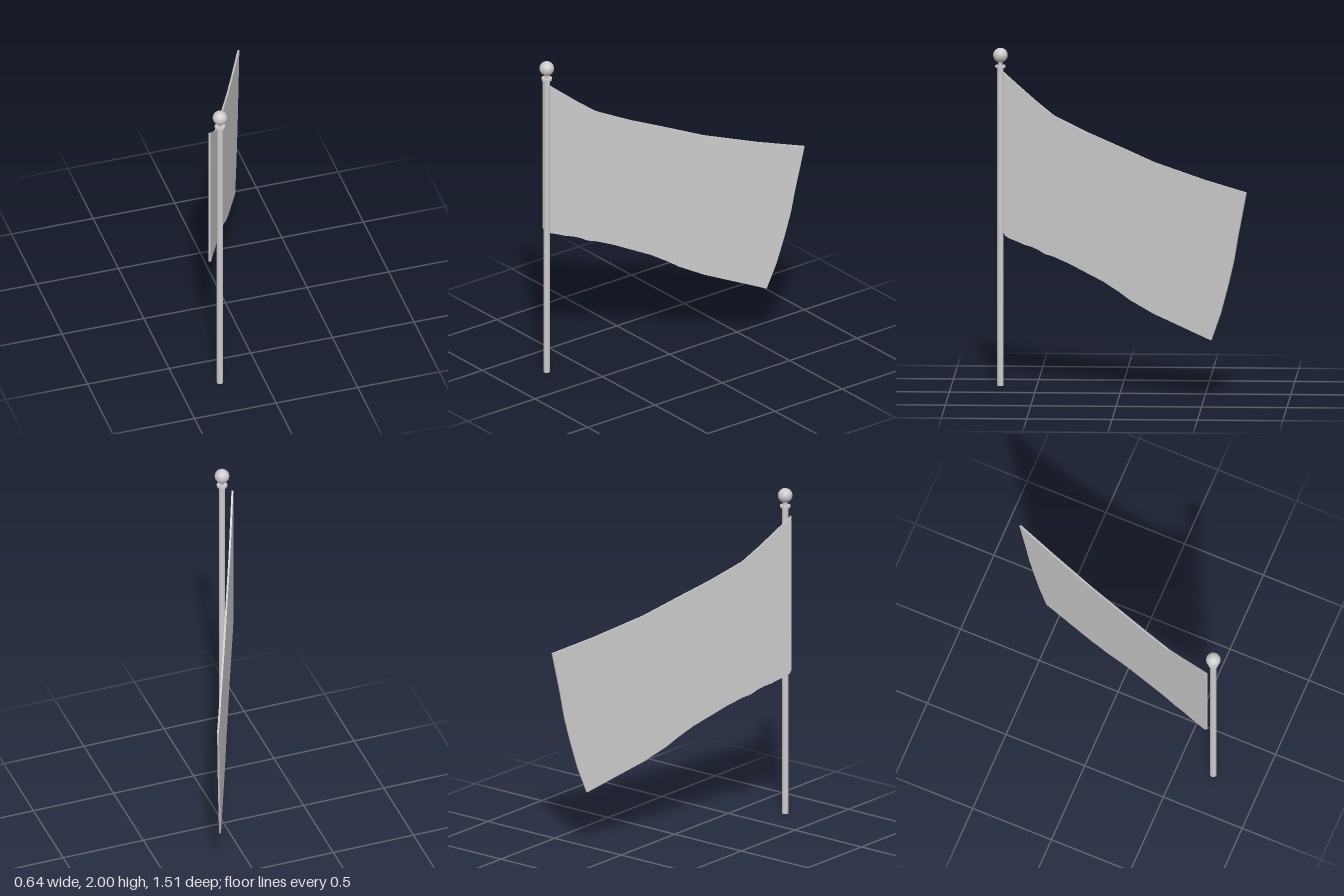
import * as THREE from 'three';

const material = new THREE.MeshStandardMaterial({ color: 0xcccccc });

function addMesh(group, name, geometry, x, y, z) {
  const mesh = new THREE.Mesh(geometry, material);
  mesh.name = name;
  mesh.position.set(x, y, z);
  group.add(mesh);
  return mesh;
}

export function createModel() {
  const group = new THREE.Group();
  group.name = 'flagOnPole';

  // Pole with collar, neck and ball finial
  const px = -0.255, pz = 0.713;
  const ballY = 1.957, ballR = 0.043;
  addMesh(group, 'pole', new THREE.CylinderGeometry(0.019, 0.019, 1.885, 32), px, 0.9425, pz);
  addMesh(group, 'collar', new THREE.CylinderGeometry(0.031, 0.031, 0.013, 32), px, 1.891, pz);
  addMesh(group, 'neck', new THREE.CylinderGeometry(0.013, 0.013, 0.04, 24), px, 1.907, pz);
  addMesh(group, 'finialBall', new THREE.SphereGeometry(ballR, 40, 28), px, ballY, pz);

  // Cloth: a thin flat sheet hung diagonally from hoist to fly end
  const hoist = new THREE.Vector2(-0.314, 0.697);
  const fly = new THREE.Vector2(0.314, -0.755);
  const length = hoist.distanceTo(fly);
  const thickness = 0.011;

  // Outline as [z, y] pairs: top edge, fly edge, then bottom edge
  const outline = [
    [0.697, 1.847], [0.59, 1.76], [0.5, 1.688], [0.4, 1.615], [0.3, 1.572], [0.2, 1.53],
    [0, 1.457], [-0.2, 1.382], [-0.5, 1.3], [-0.755, 1.242],
    [-0.73, 1.11], [-0.705, 0.98], [-0.68, 0.83], [-0.645, 0.68], [-0.6, 0.51], [-0.545, 0.352],
    [-0.2, 0.485], [-0.06, 0.555], [0, 0.595], [0.1, 0.653], [0.2, 0.697], [0.3, 0.742],
    [0.4, 0.779], [0.45, 0.79], [0.49, 0.812], [0.53, 0.827], [0.57, 0.835], [0.61, 0.85],
    [0.66, 0.866], [0.685, 0.88], [0.697, 0.9],
  ];
  const toLength = length / (hoist.y - fly.y);
  const shape = new THREE.Shape(
    outline.map(([z, y]) => new THREE.Vector2((hoist.y - z) * toLength, y)));
  const cloth = new THREE.ExtrudeGeometry(shape, { depth: thickness, bevelEnabled: false });
  cloth.translate(0, 0, -thickness / 2);
  const flag = addMesh(group, 'flagCloth', cloth, hoist.x, 0, hoist.y);
  flag.rotation.y = Math.atan2(hoist.y - fly.y, fly.x - hoist.x);

  return group;
}
